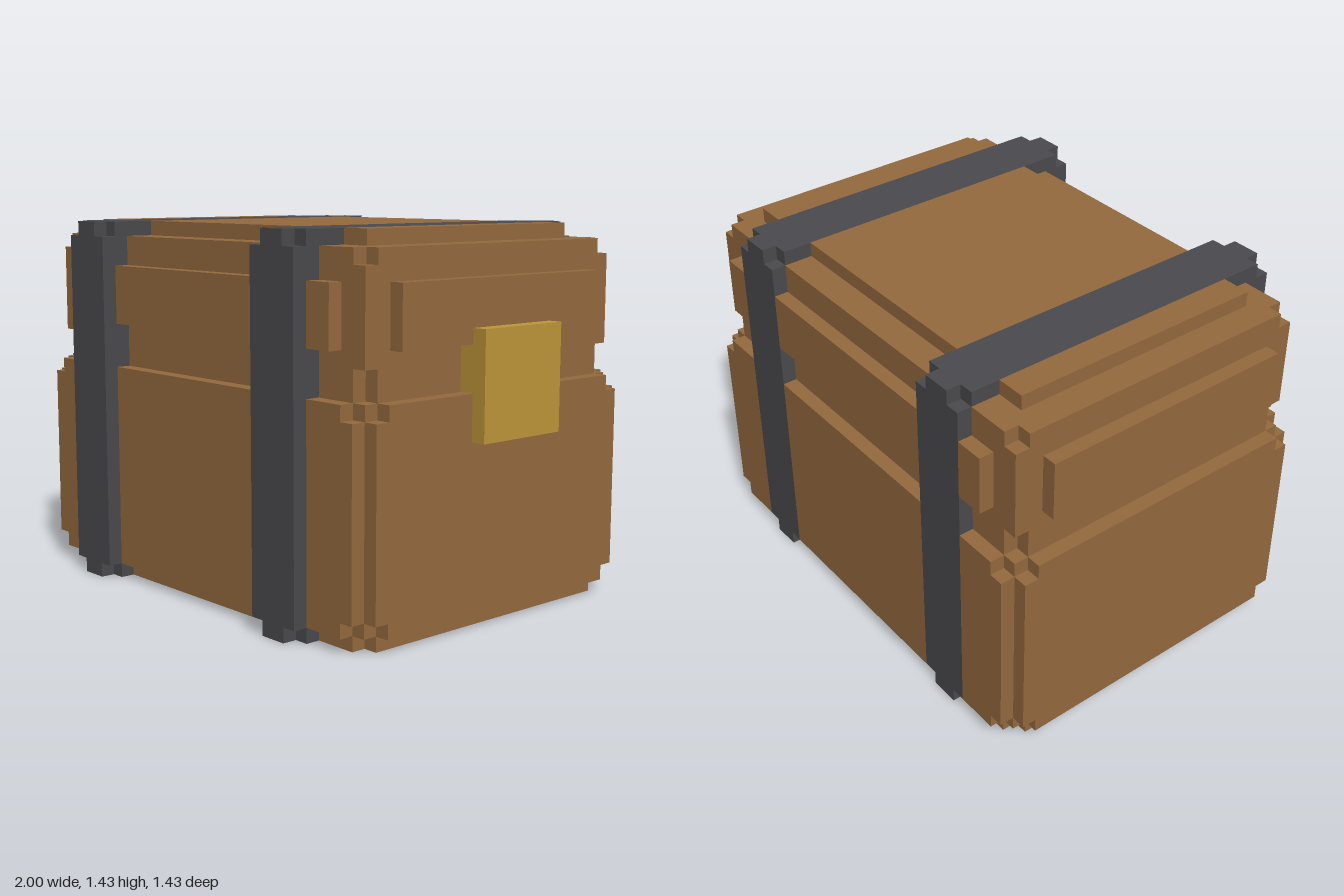
import * as THREE from 'three';
import { mergeGeometries } from 'three/addons/utils/BufferGeometryUtils.js';

const U = 2 / 35; // one block; the model is 35 x 25 x 25 blocks
const BANDS = [[5, 9], [25, 29]];

// Box from block coordinates: lo and hi are [x, y, z] corners
function block(lo, hi) {
  const s = hi.map((h, i) => (h - lo[i]) * U);
  const c = hi.map((h, i) => (h + lo[i]) * U / 2);
  return new THREE.BoxGeometry(...s).translate(c[0] - 1, c[1], c[2] - 12.5 * U);
}

// Box with single blocks missing at its corners, as a union of boxes
// inset along each of the given axes
function notched(lo, hi, axes = [0, 1, 2]) {
  return axes.map((a) => {
    const l = [...lo], h = [...hi];
    l[a] += 1;
    h[a] -= 1;
    return [l, h];
  });
}

// Cut the boxes along x wherever a metal band passes
function aroundBands(boxes) {
  const spans = [[0, BANDS[0][0]], [BANDS[0][1], BANDS[1][0]], [BANDS[1][1], 35]];
  return boxes.flatMap(([l, h]) => spans
    .map(([a, b]) => [[Math.max(l[0], a), l[1], l[2]], [Math.min(h[0], b), h[1], h[2]]])
    .filter(([p, q]) => q[0] > p[0]));
}

export function createModel() {
  const model = new THREE.Group();
  model.name = 'chest';
  const wood = new THREE.MeshStandardMaterial({ color: 0x966a3f });
  wood.name = 'wood';
  const iron = new THREE.MeshStandardMaterial({ color: 0x4b4a4e });
  iron.name = 'iron';
  const brass = new THREE.MeshStandardMaterial({ color: 0xbf973a });
  brass.name = 'brass';

  function part(name, material, boxes) {
    const mesh = new THREE.Mesh(mergeGeometries(boxes.map(([l, h]) => block(l, h))), material);
    mesh.name = name;
    model.add(mesh);
  }

  // Lower body: a core with a notched panel on every side
  part('bodyCore', wood, [[[1, 1, 1], [33, 15, 23]]]);
  for (const [name, x] of [['bodyRightPanel', 0], ['bodyLeftPanel', 33]]) {
    part(name, wood, notched([x, 1, 1], [x + 1, 15, 23], [1, 2]));
  }
  for (const [name, z] of [['bodyBackPanel', 0], ['bodyFrontPanel', 23]]) {
    part(name, wood, aroundBands(notched([1, 1, z], [33, 15, z + 1], [0, 1])));
  }
  for (const [name, y] of [['bodyBottomPanel', 0], ['bodyRim', 15]]) {
    part(name, wood, aroundBands(notched([1, y, 1], [33, y + 1, 23], [0, 2])));
  }

  // Lid: a notched core with smaller raised panels
  part('lidCore', wood, notched([1, 16, 1], [33, 24, 23]));
  for (const [name, x] of [['lidRightPanel', 0], ['lidLeftPanel', 33]]) {
    part(name, wood, [[[x, 18, 3], [x + 1, 22, 21]]]);
  }
  for (const [name, z] of [['lidBackPanel', 0], ['lidFrontPanel', 23]]) {
    part(name, wood, aroundBands([[[3, 18, z], [31, 22, z + 1]]]));
  }
  part('lidTopPanel', wood, aroundBands([[[3, 24, 3], [31, 25, 21]]]));

  // Metal bands wrapping the whole chest
  BANDS.forEach(([a, b], i) => {
    part(i ? 'leftBand' : 'rightBand', iron, notched([a, 0, 0], [b, 25, 25]));
  });

  // Latch plate on the model's left side
  part('latch', brass, [[[33, 12, 8], [35, 19, 15]]]);

  return model;
}
